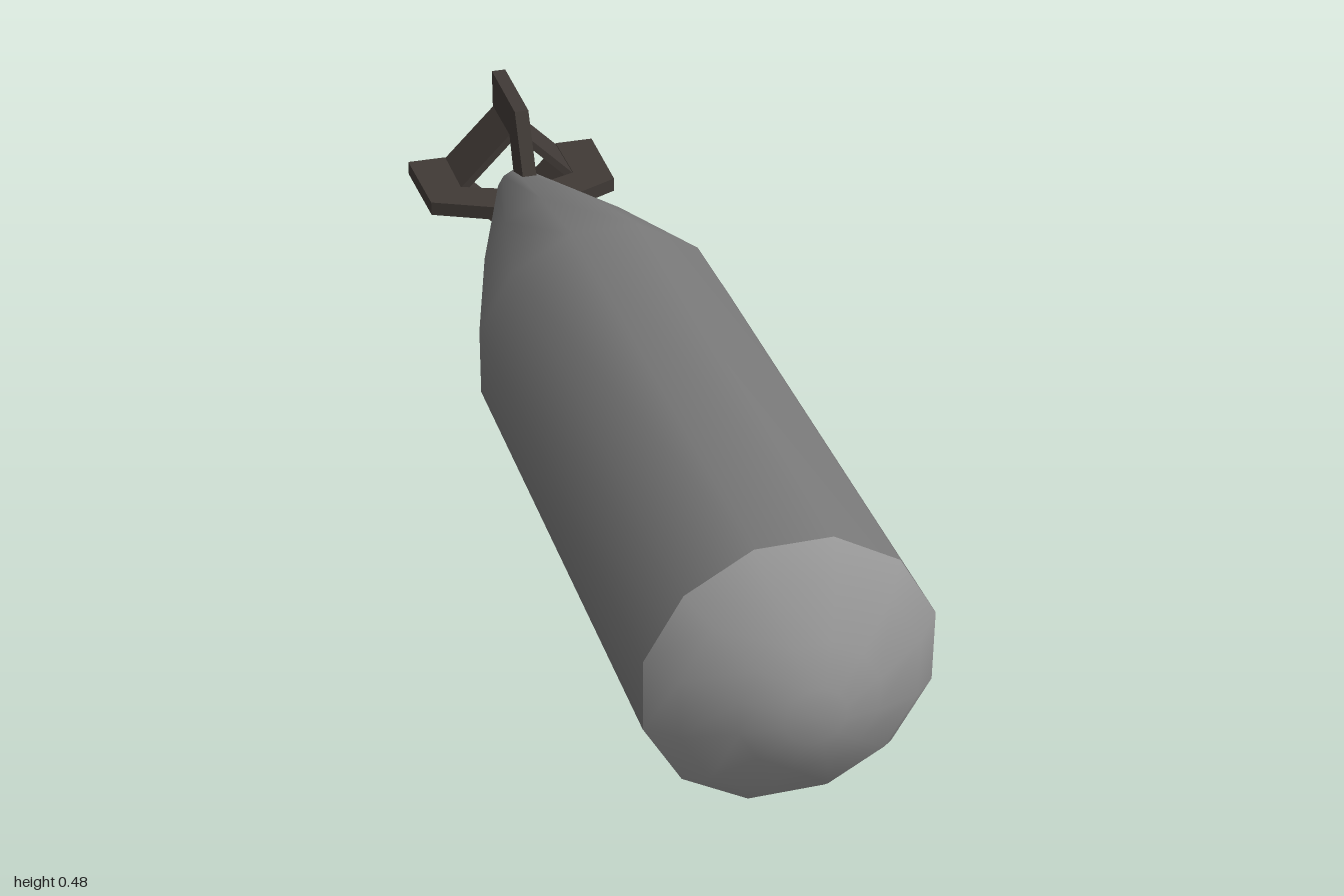
import * as THREE from 'three';

const AXIS_Y = 0.241;
const SIDES = 12;

// Twelve-sided turned part along z; profile is [radius, z] from rear to front
function turned(name, profile, material) {
  const points = profile.map(([r, z]) => new THREE.Vector2(r, z));
  const geometry = new THREE.LatheGeometry(points, SIDES, Math.PI / SIDES);
  geometry.rotateX(Math.PI / 2);
  const mesh = new THREE.Mesh(geometry, material);
  mesh.name = name;
  return mesh;
}

export function createModel() {
  const model = new THREE.Group();
  model.name = 'finnedBomb';
  const hullGrey = new THREE.MeshStandardMaterial({ color: 0x7a7a7a });
  const noseGrey = new THREE.MeshStandardMaterial({ color: 0x979797 });
  const dark = new THREE.MeshStandardMaterial({ color: 0x403a36 });

  const assembly = new THREE.Group();
  assembly.name = 'assembly';
  assembly.position.y = AXIS_Y;
  model.add(assembly);

  // Hull: tapered tail running into a straight barrel, then a creased round nose
  assembly.add(
    turned('tailCap', [[0, -0.85], [0.044, -0.85]], hullGrey),
    turned('body', [[0.044, -0.85], [0.161, -0.5], [0.249, -0.19], [0.249, 0.875]], hullGrey),
    turned('nose', [[0.249, 0.875], [0.204, 0.925], [0.118, 0.972], [0.052, 1], [0, 1]], noseGrey)
  );

  // Fin outline as (z, distance from axis)
  const finShape = new THREE.Shape([
    [-0.75, 0.065], [-0.83, 0.04], [-0.86, 0.118], [-1, 0.118],
    [-1, 0.196], [-0.81, 0.191]
  ].map(([z, r]) => new THREE.Vector2(z, r)));
  const thickness = 0.028;
  const finGeometry = new THREE.ExtrudeGeometry(finShape, { depth: thickness, bevelEnabled: false });
  finGeometry.translate(0, 0, -thickness / 2);
  finGeometry.rotateY(-Math.PI / 2);

  // Four fins, braced by a square ring of plates between them
  const plateGeometry = new THREE.BoxGeometry(0.172, 0.014, 0.14);
  plateGeometry.translate(0, 0.085, -0.93);
  for (let i = 0; i < 4; i++) {
    const fin = new THREE.Mesh(finGeometry, dark);
    fin.name = 'tailFin' + (i + 1);
    fin.rotation.z = i * Math.PI / 2;
    const plate = new THREE.Mesh(plateGeometry, dark);
    plate.name = 'ringPlate' + (i + 1);
    plate.rotation.z = (i + 0.5) * Math.PI / 2;
    assembly.add(fin, plate);
  }
  return model;
}
